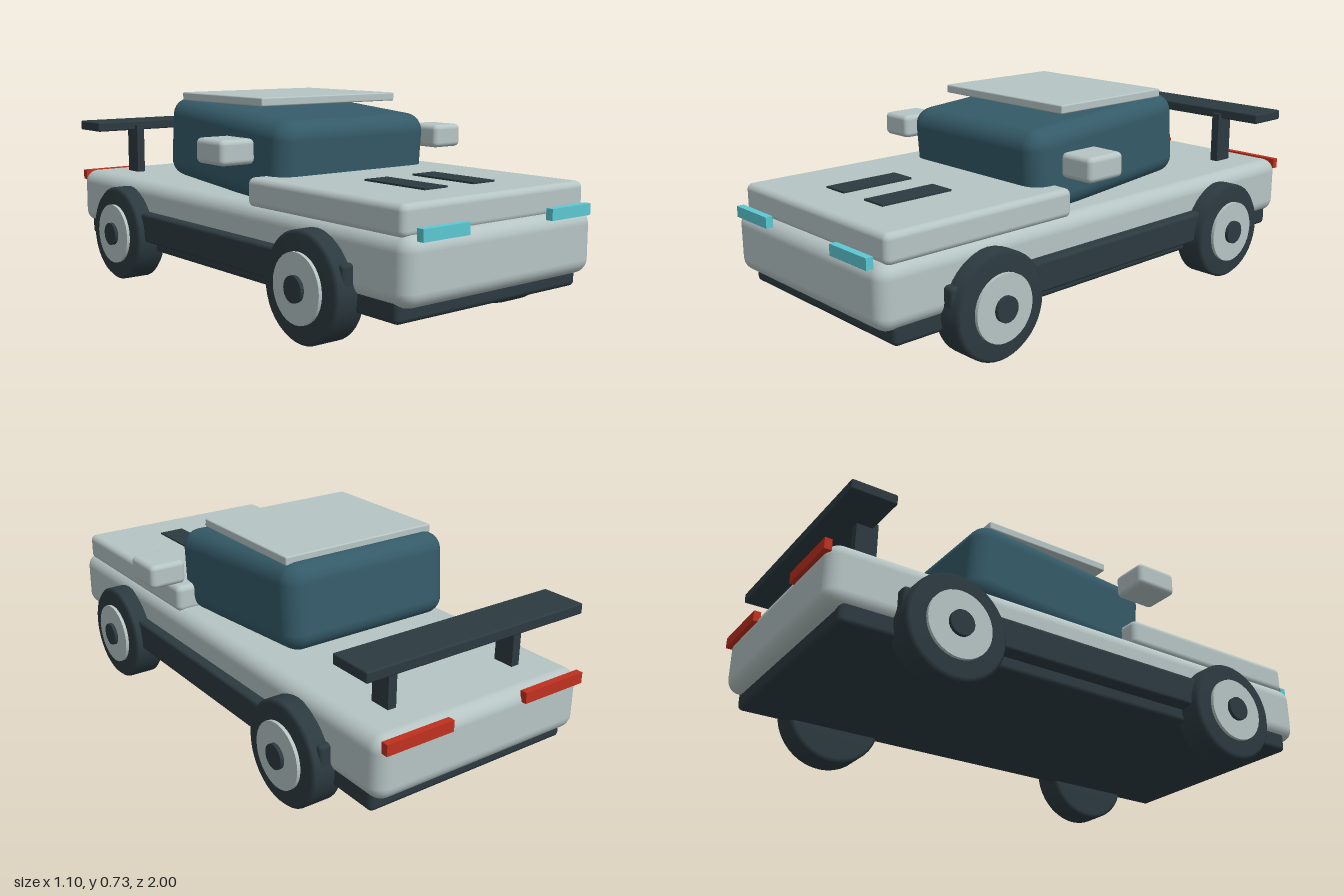
import * as THREE from 'three';
import { RoundedBoxGeometry } from 'three/addons/geometries/RoundedBoxGeometry.js';

function material(name, color) {
  const m = new THREE.MeshStandardMaterial({ color });
  m.name = name;
  return m;
}

export function createModel() {
  const car = new THREE.Group();
  car.name = 'car';
  const paint = material('pale grey paint', 0xb6c4c4);
  const dark = material('dark trim', 0x2c3a40);
  const glass = material('tinted glass', 0x345a68);
  const cyan = material('cyan headlight', 0x5cc8d2);
  const red = material('red tail light', 0xc0301f);

  // Box given by its extents on each axis, optionally rounded
  function box(name, mat, [x0, x1], [y0, y1], [z0, z1], radius = 0) {
    const size = [x1 - x0, y1 - y0, z1 - z0];
    const geo = radius ? new RoundedBoxGeometry(...size, 3, radius) : new THREE.BoxGeometry(...size);
    const mesh = new THREE.Mesh(geo, mat);
    mesh.name = name;
    mesh.position.set((x0 + x1) / 2, (y0 + y1) / 2, (z0 + z1) / 2);
    car.add(mesh);
    return mesh;
  }

  // Same box on both sides of the car
  function pair(name, mat, [x0, x1], y, z, radius) {
    box(name + 'Left', mat, [x0, x1], y, z, radius);
    box(name + 'Right', mat, [-x1, -x0], y, z, radius);
  }

  // Body shell, floor and bonnet
  box('body', paint, [-0.42, 0.42], [0.172, 0.387], [-0.985, 0.985], 0.05);
  box('underbody', dark, [-0.405, 0.405], [0.122, 0.24], [-0.935, 0.93], 0.018);
  box('bonnet', paint, [-0.405, 0.405], [0.375, 0.475], [0.195, 0.95], 0.022);
  pair('bonnetVent', dark, [0.058, 0.158], [0.472, 0.481], [0.51, 0.785]);
  pair('sideSkirt', dark, [0.38, 0.458], [0.168, 0.278], [-0.757, 0.757], 0.012);

  // Cabin leans down towards the nose
  const cabin = box('cabin', glass, [-0.336, 0.336], [0.388, 0.688], [-0.43, 0.3], 0.065);
  cabin.rotation.x = 0.08;
  box('roof', paint, [-0.306, 0.306], [0.703, 0.733], [-0.358, 0.15], 0.005);
  pair('mirror', paint, [0.415, 0.55], [0.525, 0.61], [0.108, 0.265], 0.018);

  // Lights
  pair('headlight', cyan, [0.185, 0.375], [0.372, 0.41], [0.975, 1]);
  pair('tailLight', red, [0.15, 0.405], [0.346, 0.384], [-1, -0.975]);

  // Rear wing on two posts
  box('wing', dark, [-0.44, 0.44], [0.56, 0.597], [-0.945, -0.785], 0.006);
  pair('wingPost', dark, [0.243, 0.275], [0.375, 0.58], [-0.845, -0.768]);

  // Wheels: bevelled tyre, rim disc and hub cap
  const tyreProfile = [[0, -0.06], [0.168, -0.06], [0.18, -0.048], [0.18, 0.048], [0.168, 0.06], [0, 0.06]]
    .map(([r, h]) => new THREE.Vector2(r, h));
  const tyreGeo = new THREE.LatheGeometry(tyreProfile, 40);
  const rimGeo = new THREE.CylinderGeometry(0.114, 0.114, 0.03, 32);
  const capGeo = new THREE.CylinderGeometry(0.043, 0.043, 0.04, 24);
  for (const side of [1, -1]) {
    for (const [place, z] of [['front', 0.58], ['rear', -0.58]]) {
      const wheel = new THREE.Group();
      wheel.name = place + (side > 0 ? 'LeftWheel' : 'RightWheel');
      const parts = [['tyre', tyreGeo, dark, 0], ['rim', rimGeo, paint, 0.057], ['hubCap', capGeo, dark, 0.065]];
      for (const [name, geo, mat, out] of parts) {
        const mesh = new THREE.Mesh(geo, mat);
        mesh.name = name;
        mesh.position.y = out;
        wheel.add(mesh);
      }
      wheel.rotation.z = -side * Math.PI / 2;
      wheel.position.set(side * 0.426, 0.18, z);
      car.add(wheel);
    }
  }
  return car;
}
